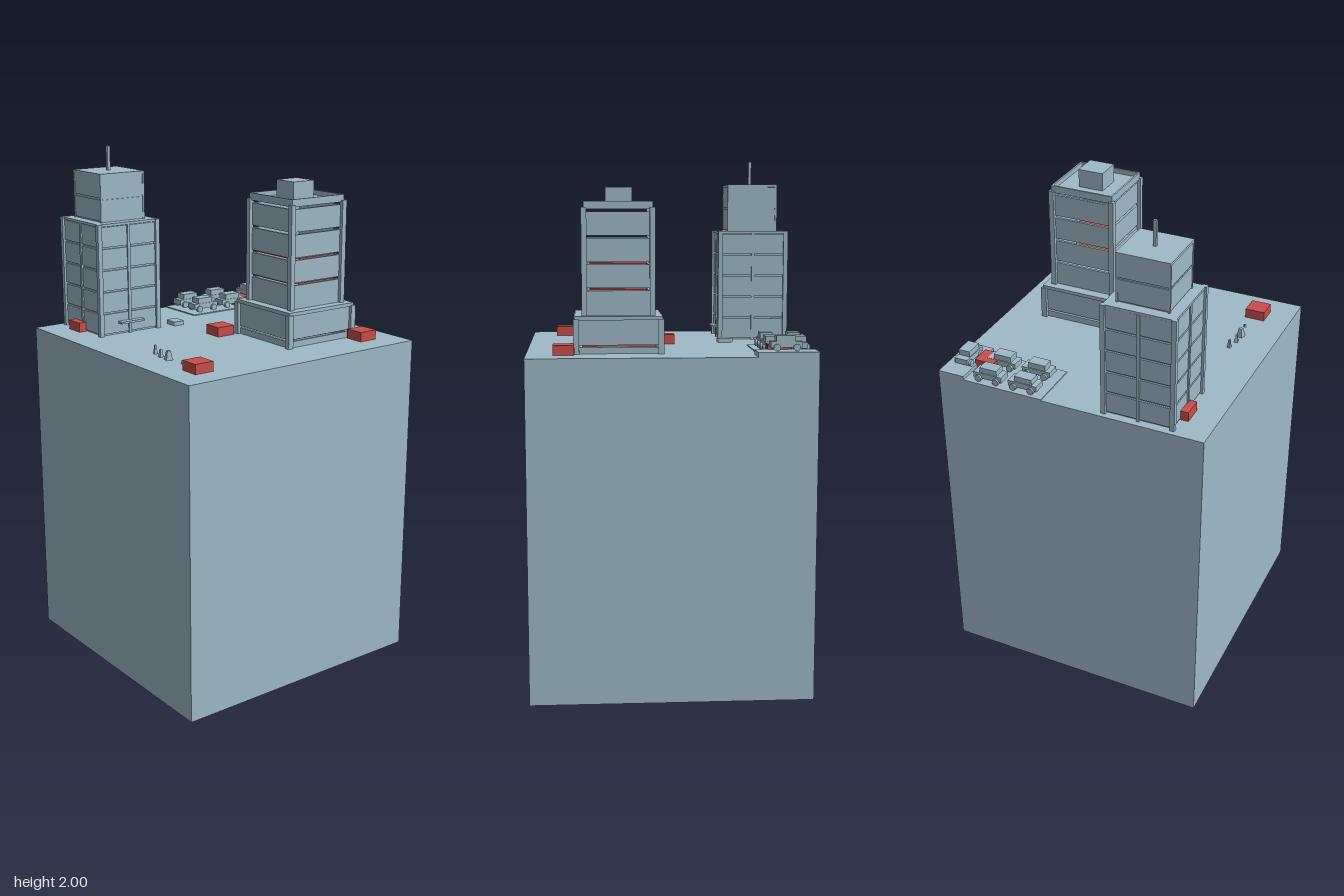
import * as THREE from 'three';

const blue = new THREE.MeshStandardMaterial({ color: 0x9fbac7 });
blue.name = 'paleBlue';
const red = new THREE.MeshStandardMaterial({ color: 0xcc4d4d });
red.name = 'markerRed';
const GROUND = 1.285;

// Box by centre x/z, bottom and top height, width and depth
function box(parent, name, x, z, y0, y1, w, d, mat = blue) {
  const m = new THREE.Mesh(new THREE.BoxGeometry(w, y1 - y0, d), mat);
  m.position.set(x, (y0 + y1) / 2, z);
  m.name = name;
  parent.add(m);
  return m;
}

function group(parent, name, x = 0, y = 0, z = 0) {
  const g = new THREE.Group();
  g.name = name;
  g.position.set(x, y, z);
  parent.add(g);
  return g;
}

// Four corner posts standing at +-r
function posts(parent, r, size, y0, y1) {
  for (const sx of [-1, 1]) for (const sz of [-1, 1])
    box(parent, 'cornerPost', sx * r, sz * r, y0, y1, size, size);
}

// Four wall panels whose outer faces lie at +-half
function wallRing(parent, name, half, width, t, y0, y1) {
  for (const s of [-1, 1]) {
    box(parent, name, 0, s * (half - t / 2), y0, y1, width, t);
    box(parent, name, s * (half - t / 2), 0, y0, y1, t, width);
  }
}

// Tall stepped tower with antenna and entrance canopy
function tallTower(parent) {
  const g = group(parent, 'tallTower', -0.268, 0, -0.368);
  const top = 1.722, floors = 5, step = (top - 0.012 - GROUND) / floors;
  box(g, 'towerCore', 0, 0, GROUND, top - 0.01, 0.25, 0.25);
  for (let i = 0; i < floors; i++) {
    const y = GROUND + i * step;
    wallRing(g, 'wallPanel', 0.132, 0.25, 0.01, y + 0.007, y + step);
  }
  box(g, 'towerRoof', 0, 0, top - 0.01, top, 0.27, 0.27);
  posts(g, 0.132, 0.018, GROUND, top);
  for (const s of [-1, 1]) {
    box(g, 'middlePilaster', 0, s * 0.132, GROUND, top - 0.01, 0.012, 0.01);
    box(g, 'middlePilaster', s * 0.132, 0, GROUND, top - 0.01, 0.01, 0.012);
  }
  // Upper stage
  box(g, 'upperCore', 0, 0, top, 1.9, 0.188, 0.188);
  wallRing(g, 'upperPanel', 0.098, 0.192, 0.008, top + 0.005, 1.808);
  wallRing(g, 'upperPanel', 0.098, 0.192, 0.008, 1.815, 1.9);
  posts(g, 0.096, 0.008, top, 1.9);
  box(g, 'upperRoof', 0, 0, 1.897, 1.907, 0.2, 0.2);
  box(g, 'antenna', 0, 0, 1.907, 2.0, 0.012, 0.012);
  box(g, 'canopy', 0, 0.142, 1.329, 1.337, 0.108, 0.034);
}

// Office block: podium, hollow panelled storeys and a parapet roof
function officeBlock(parent) {
  const g = group(parent, 'officeBlock', 0.221, 0, 0.188);
  posts(g, 0.156, 0.022, GROUND, 1.412);
  wallRing(g, 'podiumBase', 0.154, 0.3, 0.012, GROUND, 1.309);
  wallRing(g, 'podiumWall', 0.154, 0.3, 0.012, 1.316, 1.41);
  box(g, 'podiumFloor', 0, 0, 1.309, 1.315, 0.27, 0.27, red);
  box(g, 'podiumRoof', 0, 0, 1.408, 1.422, 0.322, 0.322);

  posts(g, 0.125, 0.02, 1.422, 1.816);
  const levels = [1.422, 1.518, 1.613, 1.709, 1.804];
  for (let i = 0; i < 4; i++)
    wallRing(g, 'storeyPanel', 0.122, 0.236, 0.01, levels[i] + (i ? 0.005 : 0), levels[i + 1] - 0.005);
  for (const y of [1.518, 1.613])
    box(g, 'storeyFloor', 0, 0, y - 0.003, y + 0.003, 0.21, 0.21, red);

  box(g, 'roofSlab', 0, 0, 1.809, 1.818, 0.254, 0.254);
  for (const s of [-1, 1]) {
    box(g, 'parapet', 0, s * 0.1235, 1.816, 1.837, 0.254, 0.007);
    box(g, 'parapet', s * 0.1235, 0, 1.816, 1.837, 0.007, 0.24);
  }
  box(g, 'roofHousing', -0.004, -0.004, 1.816, 1.888, 0.1, 0.1);
}

// Car with its length along x
function car(parent, x, y, z, turn = 0) {
  const g = group(parent, 'car', x, y, z);
  g.rotation.y = turn;
  box(g, 'carBody', 0, 0, 0.012, 0.034, 0.116, 0.052);
  box(g, 'carCabin', -0.003, 0, 0.034, 0.056, 0.07, 0.046);
  for (const sx of [-1, 1]) for (const sz of [-1, 1]) {
    const wheel = new THREE.Mesh(new THREE.CylinderGeometry(0.013, 0.013, 0.014, 12), blue);
    wheel.rotation.x = Math.PI / 2;
    wheel.position.set(sx * 0.036, 0.013, sz * 0.027);
    wheel.name = 'wheel';
    g.add(wheel);
  }
}

export function createModel() {
  const root = new THREE.Group();
  root.name = 'cityBlock';
  box(root, 'groundBlock', 0, 0, 0, GROUND, 1.056, 1.056);

  // Red markers, half sunk in the ground
  for (const [x, z] of [[0, 0], [-0.391, 0.39], [0.39, 0.39], [0.39, -0.391], [-0.391, -0.391]])
    box(root, 'marker', x, z, GROUND - 0.037, GROUND + 0.037, 0.078, 0.078, red);

  tallTower(root);
  officeBlock(root);

  // Parking lot and raised side lane with cars
  box(root, 'parkingLot', 0.263, -0.4225, GROUND, 1.289, 0.32, 0.211);
  box(root, 'sideLane', 0.4755, -0.4165, GROUND, 1.303, 0.105, 0.223);
  for (const x of [0.189, 0.333]) for (const z of [-0.482, -0.376]) car(root, x, 1.289, z);
  car(root, 0.464, 1.303, -0.414, Math.PI / 2);

  // Low pad with rounded corners
  const w = 0.024, d = 0.03, r = 0.008;
  const s = new THREE.Shape();
  s.absarc(w - r, d - r, r, 0, Math.PI / 2);
  s.absarc(r - w, d - r, r, Math.PI / 2, Math.PI);
  s.absarc(r - w, r - d, r, Math.PI, Math.PI * 1.5);
  s.absarc(w - r, r - d, r, Math.PI * 1.5, Math.PI * 2);
  const pad = new THREE.Mesh(
    new THREE.ExtrudeGeometry(s, { depth: 0.016, bevelEnabled: false, curveSegments: 4 }), blue);
  pad.rotation.x = -Math.PI / 2;
  pad.position.set(-0.044, GROUND, -0.245);
  pad.name = 'lowPad';
  root.add(pad);

  // Small tapered stones: x, z, base radius, height, turn
  for (const [x, z, rad, h, turn] of [
    [-0.378, 0.105, 0.009, 0.034, 0.6], [-0.388, 0.155, 0.01, 0.03, 0.9],
    [-0.388, 0.204, 0.018, 0.034, 0.55], [-0.378, 0.277, 0.006, 0.012, 0.2]]) {
    const stone = new THREE.Mesh(new THREE.CylinderGeometry(rad * 0.5, rad, h, 4).toNonIndexed(), blue);
    stone.geometry.computeVertexNormals();
    stone.position.set(x, GROUND + h / 2, z);
    stone.rotation.y = turn;
    stone.name = 'stone';
    root.add(stone);
  }
  return root;
}
